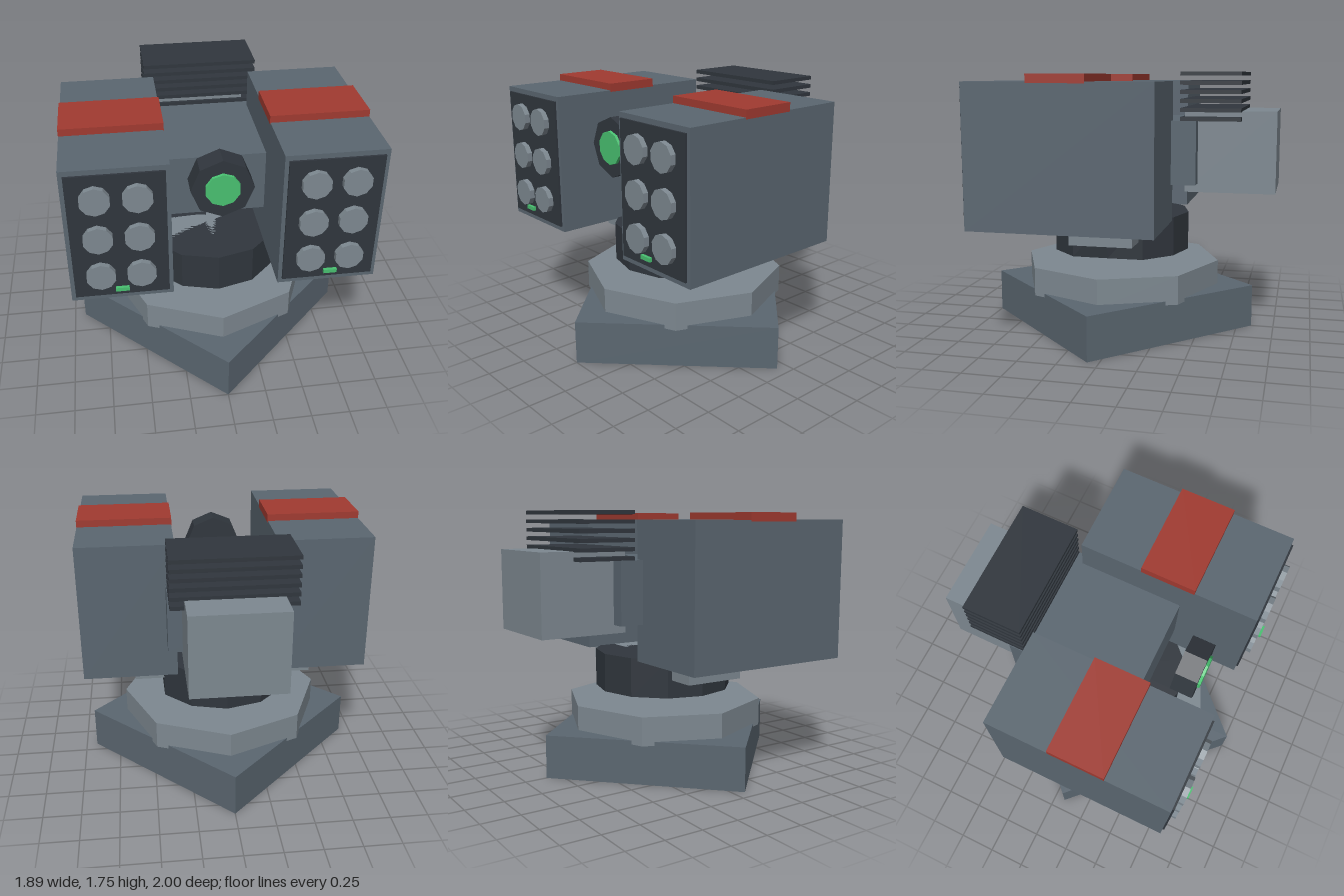
import * as THREE from 'three';

const mat = (color) => {
  const m = new THREE.MeshStandardMaterial({ color });
  m.flatShading = true;
  return m;
};

export function createModel() {
  const group = new THREE.Group();
  const armour = mat(0x5a6670), light = mat(0x7d8890), dark = mat(0x30363d);
  const red = mat(0xa03a30), green = mat(0x48c070);
  const AXIS = 0.075; // z of the turning axis

  const add = (name, geometry, material) => {
    const mesh = new THREE.Mesh(geometry, material);
    mesh.name = name;
    group.add(mesh);
    return mesh;
  };
  // box given by its limits on each axis
  const box = (name, [x0, x1], [y0, y1], [z0, z1], material) =>
    add(name, new THREE.BoxGeometry(x1 - x0, y1 - y0, z1 - z0), material)
      .position.set((x0 + x1) / 2, (y0 + y1) / 2, (z0 + z1) / 2);
  // upright prism on the turning axis
  const prism = (name, r, sides, y0, y1, material) => {
    const mesh = add(name, new THREE.CylinderGeometry(r, r, y1 - y0, sides), material);
    mesh.position.set(0, (y0 + y1) / 2, AXIS);
    return mesh;
  };
  // prism facing forward
  const disc = (name, x, y, z0, z1, rBack, rFront, sides, material) => {
    const g = new THREE.CylinderGeometry(rFront, rBack, z1 - z0, sides).rotateX(Math.PI / 2);
    add(name, g, material).position.set(x, y, (z0 + z1) / 2);
  };

  // Foot and turntable
  prism('base', 0.925, 4, 0, 0.29, armour);
  prism('turntable', 0.685, 8, 0.265, 0.455, light);
  const ring = prism('turretRing', 0.475, 12, 0.53, 0.79, dark);
  // the ring is cut back slightly on its left side
  const p = ring.geometry.attributes.position;
  for (let i = 0; i < p.count; i++) {
    if (p.getX(i) > 0.45) p.setX(i, p.getY(i) > 0 ? 0.443 : 0.415);
  }
  ring.geometry.computeVertexNormals();
  box('podSupport', [-0.61, 0.61], [0.65, 0.79], [-0.135, 0.28], light);

  // Central body and rear unit
  box('body', [-0.39, 0.39], [1.03, 1.44], [-0.5, 0.355], armour);
  box('rearUnit', [-0.298, 0.298], [0.975, 1.5], [-1, -0.415], light);
  for (let i = 0; i < 6; i++) {
    const y = 1.452 + i * 0.0568;
    box('coolingFin', [-0.385, 0.385], [y - 0.0125, y + 0.0125], [-0.78, -0.395], dark);
  }

  // Sensor eye
  disc('sensorHousing', 0, 1.392, 0.52, 0.668, 0.195, 0.195, 8, dark);
  disc('sensorLens', 0, 1.392, 0.64, 0.685, 0.115, 0.108, 10, green);

  // Launcher pods, mirrored
  for (const s of [-1, 1]) {
    const span = (a, b) => (s > 0 ? [a, b] : [-b, -a]);
    box('pod', span(0.325, 0.943), [0.783, 1.69], [-0.34, 0.84], armour);
    box('podStripe', span(0.322, 0.944), [1.68, 1.735], [0.07, 0.43], red);
    box('podFace', span(0.35, 0.917), [0.817, 1.658], [0.8, 0.853], dark);
    for (const x of [0.514, 0.755]) {
      for (const y of [0.976, 1.24, 1.505]) {
        disc('tubeCap', s * x, y, 0.83, 0.888, 0.09, 0.09, 10, light);
      }
    }
    box('statusLight', span(0.593, 0.675), [0.883, 0.908], [0.892, 0.912], green);
  }
  return group;
}
